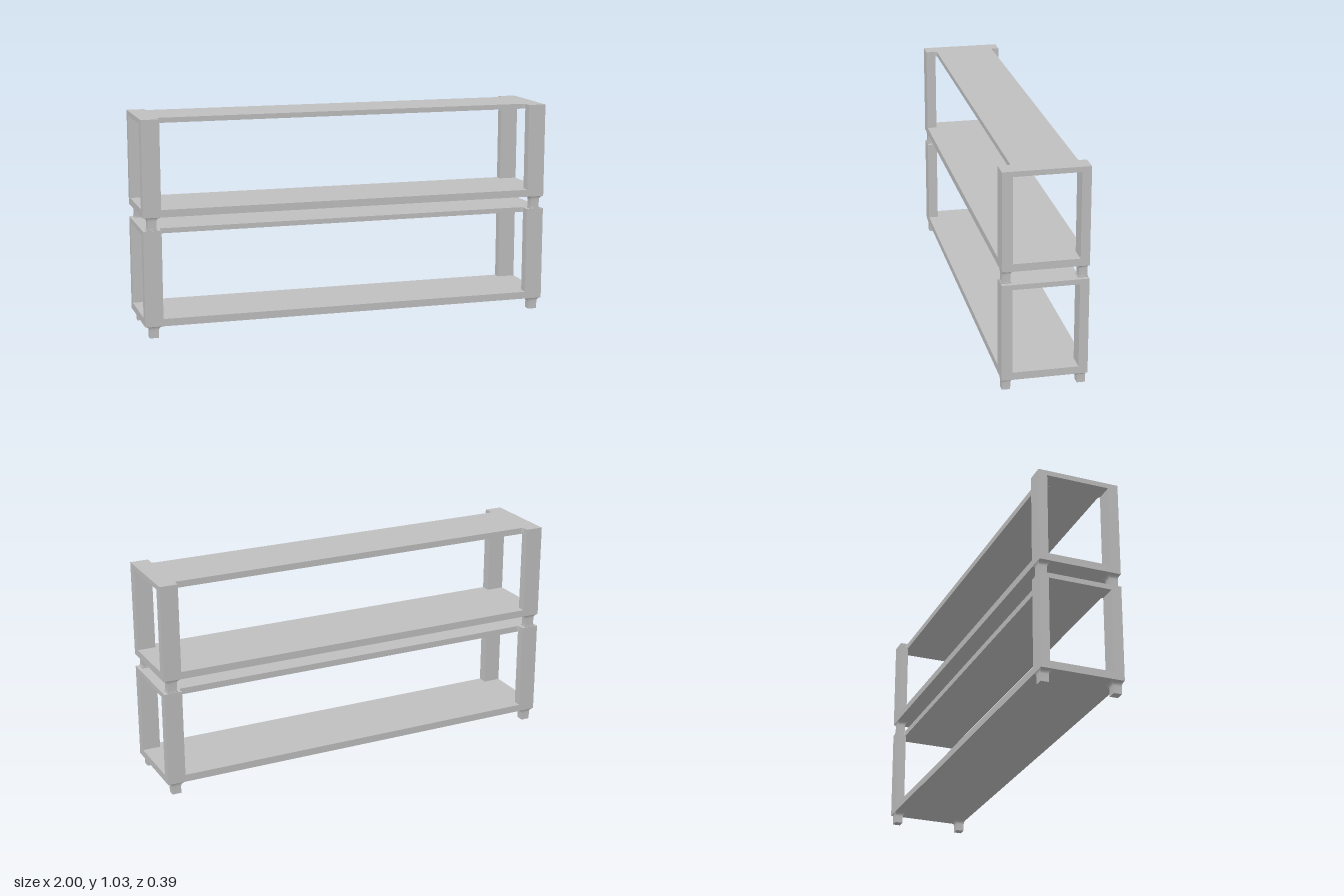
import * as THREE from 'three';

const grey = new THREE.MeshStandardMaterial({ color: 0xc0c0c0 });
grey.name = 'grey';

const HALF_X = 1, HALF_Z = 0.195; // outer half width and depth
const POST_X = 0.914; // inner face of the posts
const PITCH = 0.518; // height of one stacked tier
const SHELF_LOW = 0.055, SHELF_TOP = 0.09, TOP_LOW = 0.487, TOP = 0.511;

function add(parent, name, geometry) {
  const mesh = new THREE.Mesh(geometry, grey);
  mesh.name = name;
  parent.add(mesh);
  return mesh;
}

// Box given by its limits on each axis
function box(parent, name, x0, x1, y0, y1, z0, z1) {
  const mesh = add(parent, name, new THREE.BoxGeometry(x1 - x0, y1 - y0, z1 - z0));
  mesh.position.set((x0 + x1) / 2, (y0 + y1) / 2, (z0 + z1) / 2);
}

// Square foot whose upper end flares in a curve into the shelf
function footGeometry(sx, sz) {
  const rings = [ // y, outer x, inner x, outer z, inner z
    [0, 0.979, 0.936, 0.19, 0.152],
    [0.036, 0.979, 0.936, 0.19, 0.151],
    [0.046, 0.981, 0.934, 0.191, 0.148],
    [0.052, 0.987, 0.927, 0.193, 0.143],
    [SHELF_LOW + 0.001, 0.997, 0.915, 0.195, 0.135],
  ];
  const g = new THREE.BoxGeometry(1, 1, 1, 1, rings.length - 1, 1);
  const p = g.attributes.position;
  for (let i = 0; i < p.count; i++) {
    const [y, xo, xi, zo, zi] = rings[Math.round((p.getY(i) + 0.5) * (rings.length - 1))];
    p.setXYZ(i, sx * (p.getX(i) * sx > 0 ? xo : xi), y, sz * (p.getZ(i) * sz > 0 ? zo : zi));
  }
  g.computeVertexNormals();
  return g;
}

// Top board: full depth at the ends, set back between the posts
function topGeometry() {
  const front = 0.139, back = -0.157, r = 0.012;
  const s = new THREE.Shape();
  // drawn in x and -z, so it lies flat after turning
  s.moveTo(-HALF_X, -HALF_Z);
  s.lineTo(-POST_X, -HALF_Z);
  s.lineTo(-POST_X, -front - r);
  s.quadraticCurveTo(-POST_X, -front, -POST_X + r, -front);
  s.lineTo(POST_X - r, -front);
  s.quadraticCurveTo(POST_X, -front, POST_X, -front - r);
  s.lineTo(POST_X, -HALF_Z);
  s.lineTo(HALF_X, -HALF_Z);
  s.lineTo(HALF_X, HALF_Z);
  s.lineTo(POST_X, HALF_Z);
  s.lineTo(POST_X, -back + r);
  s.quadraticCurveTo(POST_X, -back, POST_X - r, -back);
  s.lineTo(-POST_X + r, -back);
  s.quadraticCurveTo(-POST_X, -back, -POST_X, -back + r);
  s.lineTo(-POST_X, HALF_Z);
  s.lineTo(-HALF_X, HALF_Z);
  s.closePath();
  const g = new THREE.ExtrudeGeometry(s, { depth: TOP - TOP_LOW, bevelEnabled: false, curveSegments: 5 });
  return g.rotateX(-Math.PI / 2).translate(0, TOP_LOW, 0);
}

// Thin sloping lip under the back edge of the top board
function lipGeometry() {
  const s = new THREE.Shape();
  s.moveTo(0.1, TOP_LOW);
  s.lineTo(0.157, TOP_LOW - 0.006);
  s.lineTo(0.157, TOP_LOW);
  s.closePath();
  const g = new THREE.ExtrudeGeometry(s, { depth: 2 * POST_X, bevelEnabled: false });
  return g.rotateY(Math.PI / 2).translate(-POST_X, 0, 0);
}

function createTier(hasPads) {
  const tier = new THREE.Group();
  box(tier, 'lowerShelf', -HALF_X, HALF_X, SHELF_LOW, SHELF_TOP, -HALF_Z, HALF_Z);
  add(tier, 'topBoard', topGeometry());
  add(tier, 'backLip', lipGeometry());

  // A post and a foot at each corner
  for (const sx of [-1, 1]) {
    const x0 = sx > 0 ? POST_X : -HALF_X, x1 = sx > 0 ? HALF_X : -POST_X;
    for (const sz of [-1, 1]) {
      const z0 = sz > 0 ? 0.147 : -HALF_Z, z1 = sz > 0 ? HALF_Z : -0.153;
      box(tier, 'post', x0, x1, SHELF_TOP, TOP_LOW, z0, z1);
      add(tier, 'foot', footGeometry(sx, sz));
      // Pad that carries the foot of the tier above
      if (hasPads) {
        const cx = sx * 0.9575, cz = sz * 0.171;
        box(tier, 'footPad', cx - 0.024, cx + 0.024, TOP, PITCH, cz - 0.022, cz + 0.022);
      }
    }
  }
  return tier;
}

export function createModel() {
  const rack = new THREE.Group();
  rack.name = 'stackedShelfRack';
  ['lowerTier', 'upperTier'].forEach((name, i) => {
    const tier = createTier(i === 0);
    tier.name = name;
    tier.position.y = i * PITCH;
    rack.add(tier);
  });
  return rack;
}
